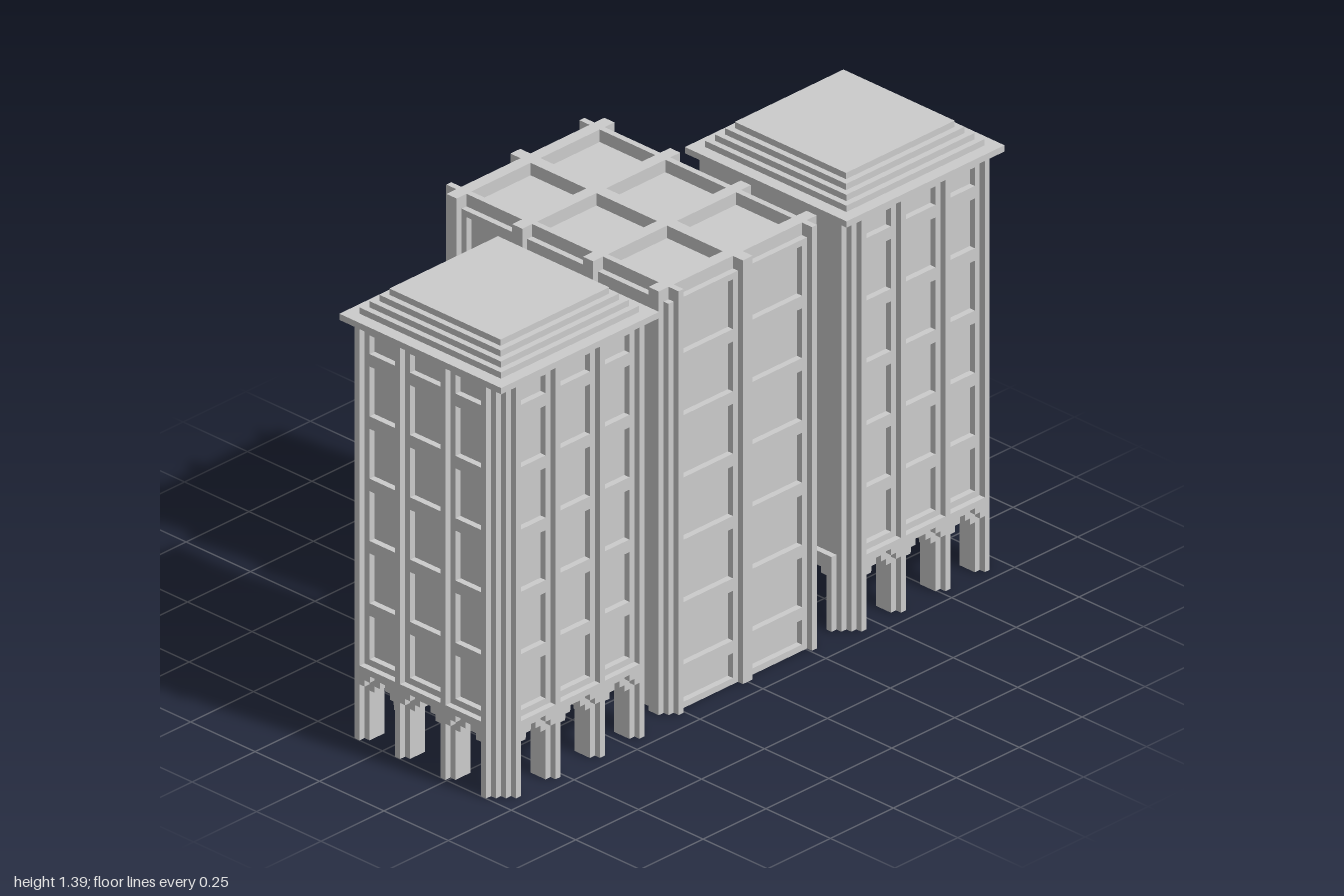
import * as THREE from 'three';

const U = 2 / 102; // one block of the building grid
const mat = new THREE.MeshStandardMaterial({ color: 0xcccccc, flatShading: true });

function add(parent, name, geo) {
  const m = new THREE.Mesh(geo, mat);
  m.name = name;
  parent.add(m);
  return m;
}

// Box from its min and max on each axis
function box(parent, name, x0, x1, y0, y1, z0, z1) {
  const g = new THREE.BoxGeometry(x1 - x0, y1 - y0, z1 - z0);
  g.translate((x0 + x1) / 2, (y0 + y1) / 2, (z0 + z1) / 2);
  return add(parent, name, g);
}

function slab(parent, name, shape, z0, z1) {
  const g = new THREE.ExtrudeGeometry(shape, { depth: z1 - z0, bevelEnabled: false });
  g.translate(0, 0, z0);
  return add(parent, name, g);
}

// Wall standing on the ground with stepped arch openings
function arcade(parent, name, x0, x1, top, bays, spring, steps, z0, z1) {
  const pts = [[x0, 0]];
  for (const [a, b] of bays) {
    pts.push([a, 0]);
    for (let i = 0; i <= steps; i++) {
      if (i) pts.push([a + i, spring + i - 1]);
      pts.push([a + i, spring + i]);
    }
    for (let i = steps; i >= 0; i--) {
      pts.push([b - i, spring + i]);
      if (i) pts.push([b - i, spring + i - 1]);
    }
    pts.push([b, 0]);
  }
  pts.push([x1, 0], [x1, top], [x0, top]);
  slab(parent, name, new THREE.Shape(pts.map(p => new THREE.Vector2(...p))), z0, z1);
}

// Wall layer with a grid of rectangular window recesses
function windowFrame(parent, name, x0, x1, y0, y1, cols, rows, z0, z1) {
  const rect = (a, b, c, d) => [[a, c], [b, c], [b, d], [a, d]].map(p => new THREE.Vector2(...p));
  const s = new THREE.Shape(rect(x0, x1, y0, y1));
  for (const [a, b] of cols)
    for (const [c, d] of rows) s.holes.push(new THREE.Path(rect(a, b, c, d).reverse()));
  slab(parent, name, s, z0, z1);
}

const TOWER_ROWS = [[13, 20], [22, 30], [32, 40], [42, 50], [52, 60], [62, 65]];
const BACK_ROWS = [[21, 25], [27, 35], [37, 45], [47, 55], [57, 65]];
const FRONT_ROWS = [[1, 5], [7, 15], [17, 25], [27, 35], [37, 45], [47, 55], [57, 65]];

// One side of a tower, facing +z; the inner side is plain above the arcade
function towerSide(plain) {
  const g = new THREE.Group();
  g.name = plain ? 'innerTowerSide' : 'towerSide';
  arcade(g, 'archMoulding', -13, 13, 12, [[-12, -5], [-4, 4], [5, 12]], 9, 2, 15, 16);
  arcade(g, 'arcade', -14, 14, 12, [[-11, -6], [-3, 3], [6, 11]], 8, 2, 12, 15);
  windowFrame(g, 'windowFrame', -14, 14, 12, 66, [[-11, -6], [-3, 3], [6, 11]],
    plain ? [] : TOWER_ROWS, 14, 15);
  if (!plain)
    for (const x of [-13, -5, 4, 12]) box(g, 'pilaster', x, x + 1, 12, 66, 15, 16);
  return g;
}

function tower(side) {
  const t = new THREE.Group();
  t.name = side > 0 ? 'leftTower' : 'rightTower';
  box(t, 'towerCore', -14, 14, 11.5, 66, -14, 14);
  for (let i = 0; i < 4; i++) {
    const s = towerSide(i === (side > 0 ? 3 : 1));
    s.rotation.y = i * Math.PI / 2;
    t.add(s);
  }
  // Stepped roof
  [16, 14, 13, 12, 11].forEach((h, i) => box(t, 'roofStep', -h, h, 66 + i, 67 + i, -h, h));
  t.position.set(side * 35, 0, 7.5);
  return t;
}

// Centre block: z is measured as depth k behind the front, z = 23.5 - k
function centreBlock() {
  const c = new THREE.Group();
  c.name = 'centreBlock';
  const kbox = (name, x0, x1, y0, y1, k0, k1) =>
    box(c, name, x0, x1, y0, y1, 23.5 - k1, 23.5 - k0);

  kbox('frontCore', -15, 15, 0, 66, 3, 32);
  kbox('rearCore', -14, 14, 17, 66, 32, 45);
  kbox('entranceWall', -14, 14, 0, 17, 32, 33);
  kbox('entranceDoor', -6, 6, 0, 9, 33, 34);

  // Front facade
  windowFrame(c, 'frontFrame', -15, 15, 0, 66, [[-12, -2], [2, 12]], FRONT_ROWS, 20.5, 21.5);
  for (const [a, b] of [[-14, -13], [-1, 1], [13, 14]]) {
    kbox('frontPilaster', a, b, 0, 66, 1, 2);
    kbox('rearPilaster', a, b, 20, 66, 46, 47);
    kbox('roofBeam', a, b, 66, 68, 1, 47);
  }

  // Rear facade over two arches
  const rear = new THREE.Group();
  rear.name = 'rearFacade';
  rear.rotation.y = Math.PI;
  arcade(rear, 'archMoulding', -14, 14, 20, [[-13, -1], [1, 13]], 15, 1, 22.5, 23.5);
  arcade(rear, 'arcade', -15, 15, 20, [[-12, -2], [2, 12]], 14, 1, 19.5, 22.5);
  windowFrame(rear, 'rearFrame', -15, 15, 20, 66, [[-12, -2], [2, 12]], BACK_ROWS, 21.5, 22.5);
  c.add(rear);

  // Sides of the rear wing, each with one arch
  for (const s of [1, -1]) {
    const g = new THREE.Group();
    g.name = s > 0 ? 'leftRearSide' : 'rightRearSide';
    g.rotation.y = s * Math.PI / 2;
    g.position.z = 23.5;
    const r = (a, b) => (s > 0 ? [a, b] : [-b, -a]);
    arcade(g, 'archMoulding', ...r(30, 45), 20, [r(32, 43)], 15, 1, 15, 16);
    arcade(g, 'arcade', ...r(31, 45), 20, [r(33, 42)], 14, 1, 11, 15);
    windowFrame(g, 'sideFrame', ...r(32, 45), 20, 66, [r(33, 42)], BACK_ROWS, 14, 15);
    c.add(g);
    // Side pilasters
    for (const k of [3, 16, 30, 43])
      kbox('sidePilaster', s > 0 ? 15 : -16, s > 0 ? 16 : -15, k < 30 ? 0 : 20, 66, k, k + 2);
    // Bridge to the tower
    kbox('bridge', s > 0 ? 15 : -21, s > 0 ? 21 : -15, 20, 30, 19, 29);
  }

  // Cross beams on the roof
  for (const k of [3, 16, 30, 43]) kbox('roofCrossBeam', -16, 16, 66, 68, k, k + 2);
  return c;
}

export function createModel() {
  const model = new THREE.Group();
  model.name = 'building';
  model.add(tower(1), tower(-1), centreBlock());
  model.scale.setScalar(U);
  const root = new THREE.Group();
  root.name = 'model';
  root.add(model);
  return root;
}
